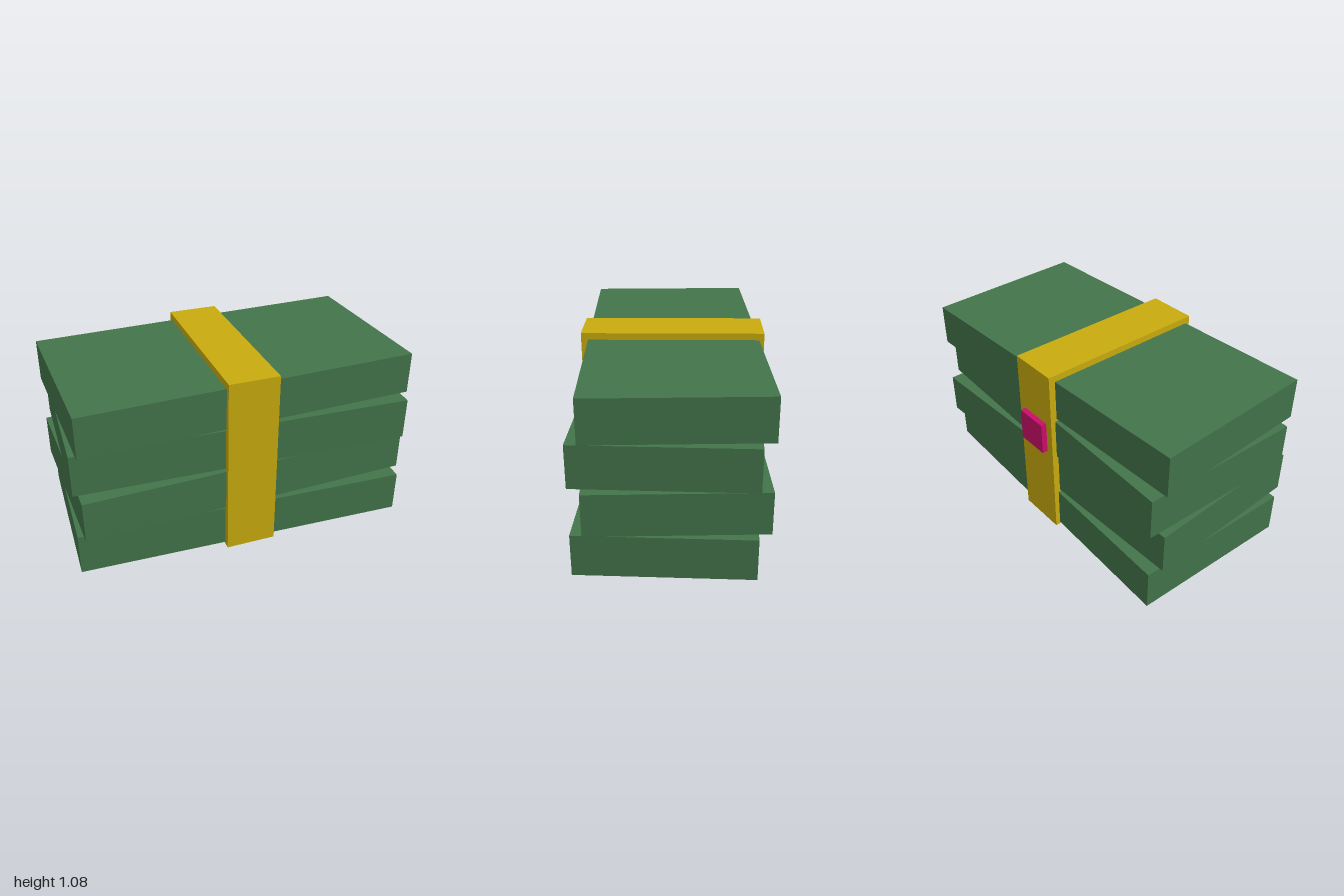
import * as THREE from 'three';

export function createModel() {
  const group = new THREE.Group();
  const make = (name, color) => {
    const m = new THREE.MeshStandardMaterial({ color });
    m.name = name;
    return m;
  };
  const green = make('bundleGreen', 0x42744a);
  const yellow = make('bandYellow', 0xc9ab0e);
  const pink = make('sealPink', 0xcb0d6a);

  const box = (name, material, size, position) => {
    const mesh = new THREE.Mesh(new THREE.BoxGeometry(...size), material);
    mesh.name = name;
    mesh.position.set(...position);
    group.add(mesh);
    return mesh;
  };

  const centreZ = 0.017;

  // Four stacked bundles, twisted alternately by two degrees
  for (let i = 0; i < 4; i++) {
    const bundle = box(`bundle${i + 1}`, green, [1.966, 0.246, 0.98], [0, 0.135 + i * 0.262, centreZ]);
    bundle.rotation.y = (i % 2 ? 1 : -1) * 0.035;
  }

  // Band wrapped around the middle of the stack
  box('band', yellow, [0.295, 1.083, 1.049], [0, 0.5415, centreZ]);

  // Seal on the back of the band
  box('seal', pink, [0.198, 0.195, 0.037], [0, 0.658, -0.5225]);

  return group;
}
